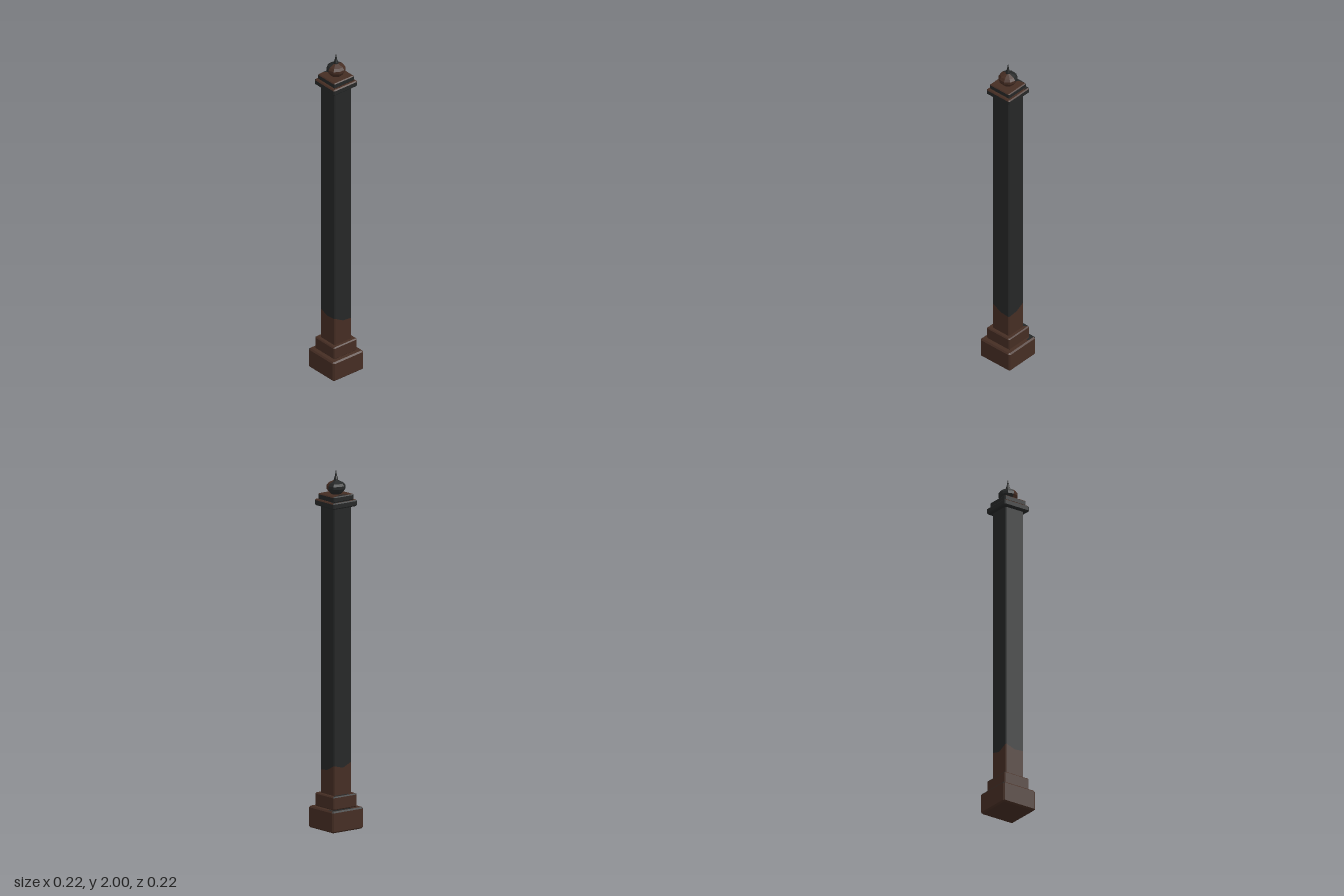
import * as THREE from 'three';

const brown = new THREE.MeshStandardMaterial({ color: 0x452d23 });
brown.name = 'rust brown';
const dark = new THREE.MeshStandardMaterial({ color: 0x252727 });
dark.name = 'dark iron';

function addMesh(group, name, geometry, material) {
  const mesh = new THREE.Mesh(geometry, material);
  mesh.name = name;
  group.add(mesh);
  return mesh;
}

// Corners of a square with cut corners, as [x, z], counter-clockwise from above
function cutSquare(h, c) {
  const k = h - c;
  return [[h, k], [h, -k], [k, -h], [-k, -h], [-h, -k], [-h, k], [-k, h], [k, h]];
}

// Bevelled square block; isDark(normal) picks the colour of each face
function block(group, name, half, y0, y1, bevel, isDark) {
  const pts = cutSquare(half - bevel, bevel * 0.5).map(([x, z]) => new THREE.Vector2(x, -z));
  const geo = new THREE.ExtrudeGeometry(new THREE.Shape(pts), {
    depth: y1 - y0 - 2 * bevel, bevelEnabled: true, bevelSegments: 1, bevelSize: bevel, bevelThickness: bevel,
  });
  geo.rotateX(-Math.PI / 2).translate(0, y0 + bevel, 0);
  geo.clearGroups();
  const n = geo.attributes.normal;
  for (let i = 0; i < n.count; i += 3) {
    geo.addGroup(i, 3, isDark(n.getX(i), n.getY(i), n.getZ(i)) ? 1 : 0);
  }
  addMesh(group, name, geo, [brown, dark]);
}

// Thin dark patch lying on a ledge, outlined by [x, z] points
function patch(group, name, y, outline) {
  const geo = new THREE.ShapeGeometry(new THREE.Shape(outline.map(([x, z]) => new THREE.Vector2(x, -z))));
  geo.rotateX(-Math.PI / 2).translate(0, y + 0.001, 0);
  addMesh(group, name, geo, dark);
}

// Upright wall around a closed ring, between two heights per corner
function wall(ring, low, high) {
  const pos = [];
  ring.forEach(([x, z], i) => {
    const j = (i + 1) % ring.length;
    const [u, w] = ring[j];
    pos.push(x, low(i), z, u, low(j), w, u, high(j), w);
    pos.push(x, low(i), z, u, high(j), w, x, high(i), z);
  });
  const geo = new THREE.BufferGeometry();
  geo.setAttribute('position', new THREE.Float32BufferAttribute(pos, 3));
  geo.computeVertexNormals();
  return geo;
}

// Faceted turned piece, or a slice of one
function turned(profile, sides, start, sweep) {
  const pts = profile.map(([r, y]) => new THREE.Vector2(r, y));
  const geo = new THREE.LatheGeometry(pts, sides, start, sweep).toNonIndexed();
  geo.computeVertexNormals();
  return geo;
}

export function createModel() {
  const model = new THREE.Group();
  model.name = 'post';

  // Stepped foot, with dark stains along the back ledges
  const backBevel = (x, y, z) => y > 0.3 && z < -0.3;
  block(model, 'base', 0.108, 0, 0.12, 0.008, backBevel);
  block(model, 'plinth', 0.083, 0.12, 0.195, 0.006, backBevel);
  patch(model, 'baseStain', 0.12, [[-0.055, -0.1], [-0.03, -0.08], [0.085, -0.08], [0.09, -0.05], [0.1, -0.06], [0.1, -0.1]]);
  patch(model, 'plinthStain', 0.195, [[-0.04, -0.077], [-0.03, -0.058], [0.06, -0.058], [0.077, -0.077]]);

  // Square shaft, rusted at the bottom up to an uneven line
  const corners = cutSquare(0.061, 0.006);
  const ring = [];
  corners.forEach((p, i) => {
    ring.push(p);
    if (i % 2 === 0) {
      const q = corners[i + 1];
      ring.push([(p[0] + q[0]) / 2, (p[1] + q[1]) / 2]);
    }
  });
  const rustLine = [0.325, 0.33, 0.36, 0.36, 0.345, 0.37, 0.375, 0.355, 0.36, 0.36, 0.33, 0.325];
  const rustAt = (i) => rustLine[i];
  addMesh(model, 'shaftFoot', wall(ring, () => 0.19, rustAt), brown);
  addMesh(model, 'shaft', wall(ring, rustAt, () => 1.8), dark);

  // Two-step cap: dark sides, rusted tops
  const capDark = (x, y, z) => y < 0.3 || z < -0.3;
  block(model, 'capLower', 0.084, 1.795, 1.83, 0.006, capDark);
  block(model, 'capUpper', 0.071, 1.83, 1.862, 0.005, capDark);
  patch(model, 'capLowerStain', 1.83, [[-0.035, -0.078], [-0.035, -0.068], [0.07, -0.068], [0.07, -0.05], [0.078, -0.05], [0.078, -0.078]]);
  patch(model, 'capUpperStain', 1.862, [[-0.035, -0.066], [-0.015, -0.045], [0.015, -0.045], [0.03, -0.056], [0.066, -0.066]]);

  // Faceted ball, rusted on the front half
  const ball = [[0.026, 1.86], [0.042, 1.876], [0.053, 1.893], [0.053, 1.908], [0.043, 1.922], [0.013, 1.936]];
  addMesh(model, 'ballFront', turned(ball, 5, -Math.PI / 2, Math.PI), brown);
  addMesh(model, 'ballBack', turned(ball, 5, Math.PI / 2, Math.PI), dark);

  // Spike
  const spike = [[0.014, 1.93], [0.012, 1.944], [0.006, 1.962], [0.0035, 1.978], [0, 2]];
  addMesh(model, 'spike', turned(spike, 10, 0, Math.PI * 2), dark);

  return model;
}
